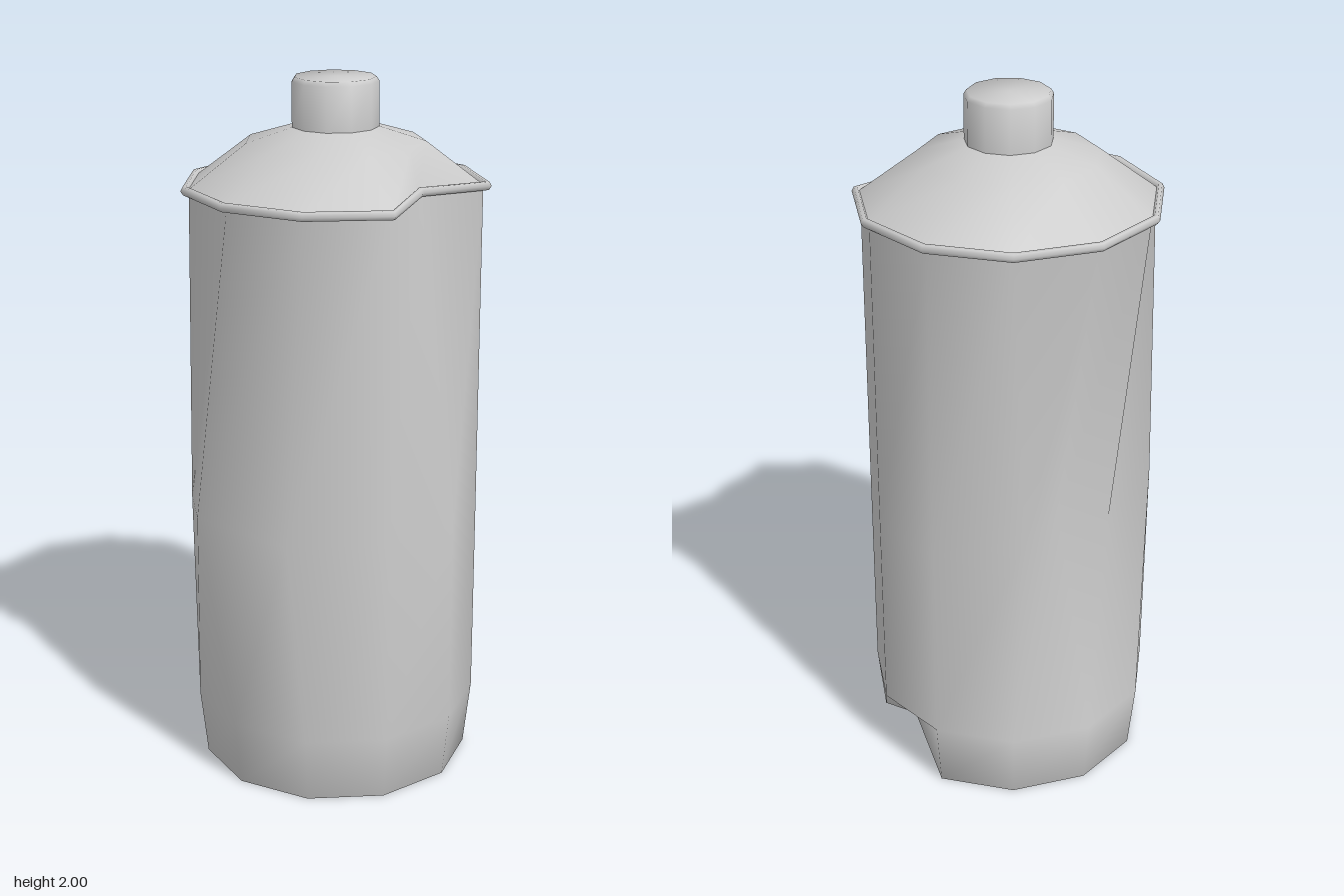
import * as THREE from 'three';
import { toCreasedNormals } from 'three/addons/utils/BufferGeometryUtils.js';

const SIDES = 11;
const CZ = -0.017; // axis of the can
const material = new THREE.MeshStandardMaterial({ color: 0xcccccc, side: THREE.DoubleSide });

// One eleven-sided ring; dents replaces single corners with [x, y, z]
function ring(r, y, dents = {}) {
  return Array.from({ length: SIDES }, (_, i) => {
    const a = (i / SIDES) * Math.PI * 2;
    return dents[i] || [r * Math.cos(a), y, CZ + r * Math.sin(a)];
  });
}

// Skin a stack of rings
function loft(name, rings, crease) {
  const index = [];
  for (let k = 0; k < rings.length - 1; k++) {
    for (let i = 0; i < SIDES; i++) {
      const j = (i + 1) % SIDES;
      const a = k * SIDES + i, b = k * SIDES + j;
      index.push(a, a + SIDES, b, b, a + SIDES, b + SIDES);
    }
  }
  let geometry = new THREE.BufferGeometry();
  geometry.setAttribute('position', new THREE.Float32BufferAttribute(rings.flat(2), 3));
  geometry.setIndex(index);
  geometry.computeVertexNormals();
  if (crease) geometry = toCreasedNormals(geometry, crease);
  const mesh = new THREE.Mesh(geometry, material);
  mesh.name = name;
  return mesh;
}

export function createModel() {
  const group = new THREE.Group();
  group.name = 'dentedSprayCan';

  // Body: hollow base, one foot corner bent up, crushed on one side,
  // bulging at the front and pinched under the rim
  group.add(loft('body', [
    ring(0, 0.1),
    ring(0.2, 0.085),
    ring(0.35, 0.025, { 9: [0.14, 0.085, -0.25] }),
    ring(0.388, 0, { 9: [0.153, 0.072, -0.28] }),
    ring(0.409, 0.19),
    ring(0.409, 0.78, {
      2: [0.17, 0.81, 0.44],
      3: [-0.18, 0.8, 0.39],
      4: [-0.27, 0.82, 0.305],
      5: [-0.27, 0.74, 0.105],
      6: [-0.27, 0.87, -0.135],
      7: [-0.225, 0.79, -0.225],
    }),
    ring(0.408, 1.695, { 0: [0.285, 1.705, CZ] }),
  ]));

  // Rolled rim, its dented corner pushed in and slightly up
  const rimRing = (r, y) => ring(r, y, { 0: [r - 0.135, y + 0.013, CZ] });
  group.add(loft('rim', [
    rimRing(0.4, 1.689),
    rimRing(0.424, 1.691),
    rimRing(0.431, 1.702),
    rimRing(0.425, 1.714),
    rimRing(0.415, 1.715),
    rimRing(0.409, 1.704),
  ], 1.5));

  // Sloping shoulder
  group.add(loft('shoulder', [
    rimRing(0.412, 1.703),
    ring(0.25, 1.825),
    ring(0.12, 1.865),
    ring(0.1, 1.867),
  ]));

  // Cap on top
  group.add(loft('cap', [
    ring(0.121, 1.855),
    ring(0.121, 1.988),
    ring(0.113, 2),
    ring(0, 2),
  ], 1.2));

  return group;
}
